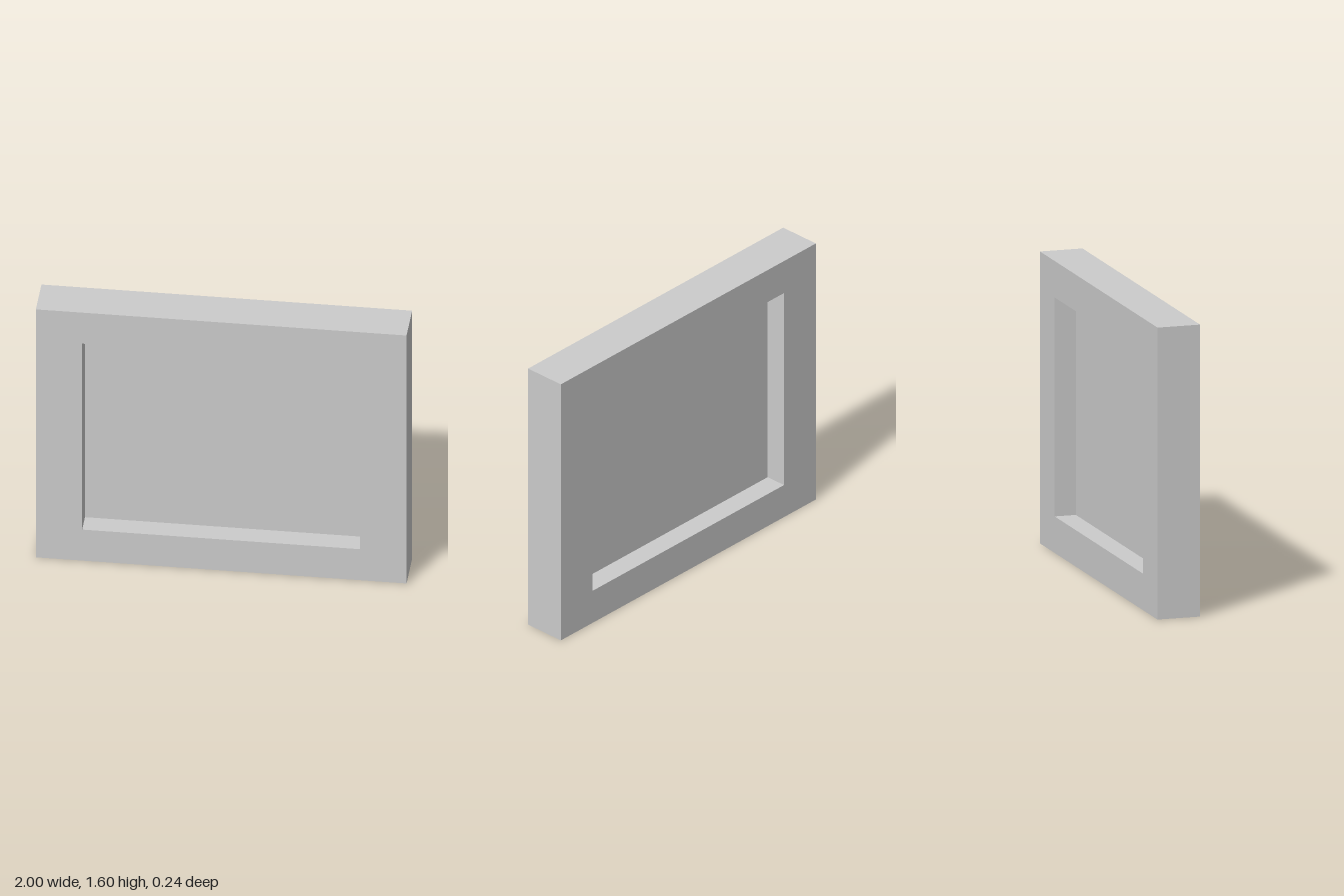
import * as THREE from 'three';

const WIDTH = 2, HEIGHT = 1.6, DEPTH = 0.24;
const OPEN_W = 1.5, OPEN_H = 1.2;

// Rectangle centred on x = 0 and y = HEIGHT / 2
function rectangle(target, w, h) {
  const x = w / 2, y0 = (HEIGHT - h) / 2, y1 = (HEIGHT + h) / 2;
  return target.moveTo(-x, y0).lineTo(x, y0).lineTo(x, y1).lineTo(-x, y1).closePath();
}

export function createModel() {
  const group = new THREE.Group();
  group.name = 'framedWindow';

  // Square-edged surround with a rectangular opening
  const shape = rectangle(new THREE.Shape(), WIDTH, HEIGHT);
  shape.holes.push(rectangle(new THREE.Path(), OPEN_W, OPEN_H));
  const frameGeometry = new THREE.ExtrudeGeometry(shape, { depth: DEPTH, bevelEnabled: false });
  frameGeometry.translate(0, 0, -DEPTH / 2);
  const frame = new THREE.Mesh(
    frameGeometry,
    new THREE.MeshStandardMaterial({ color: 0xcccccc, flatShading: true })
  );
  frame.name = 'frame';
  group.add(frame);

  // Thin pane halfway through the opening, seen from both sides
  const pane = new THREE.Mesh(
    new THREE.PlaneGeometry(OPEN_W, OPEN_H),
    new THREE.MeshStandardMaterial({ color: 0xcccccc, side: THREE.DoubleSide })
  );
  pane.name = 'pane';
  pane.position.y = HEIGHT / 2;
  group.add(pane);

  return group;
}
